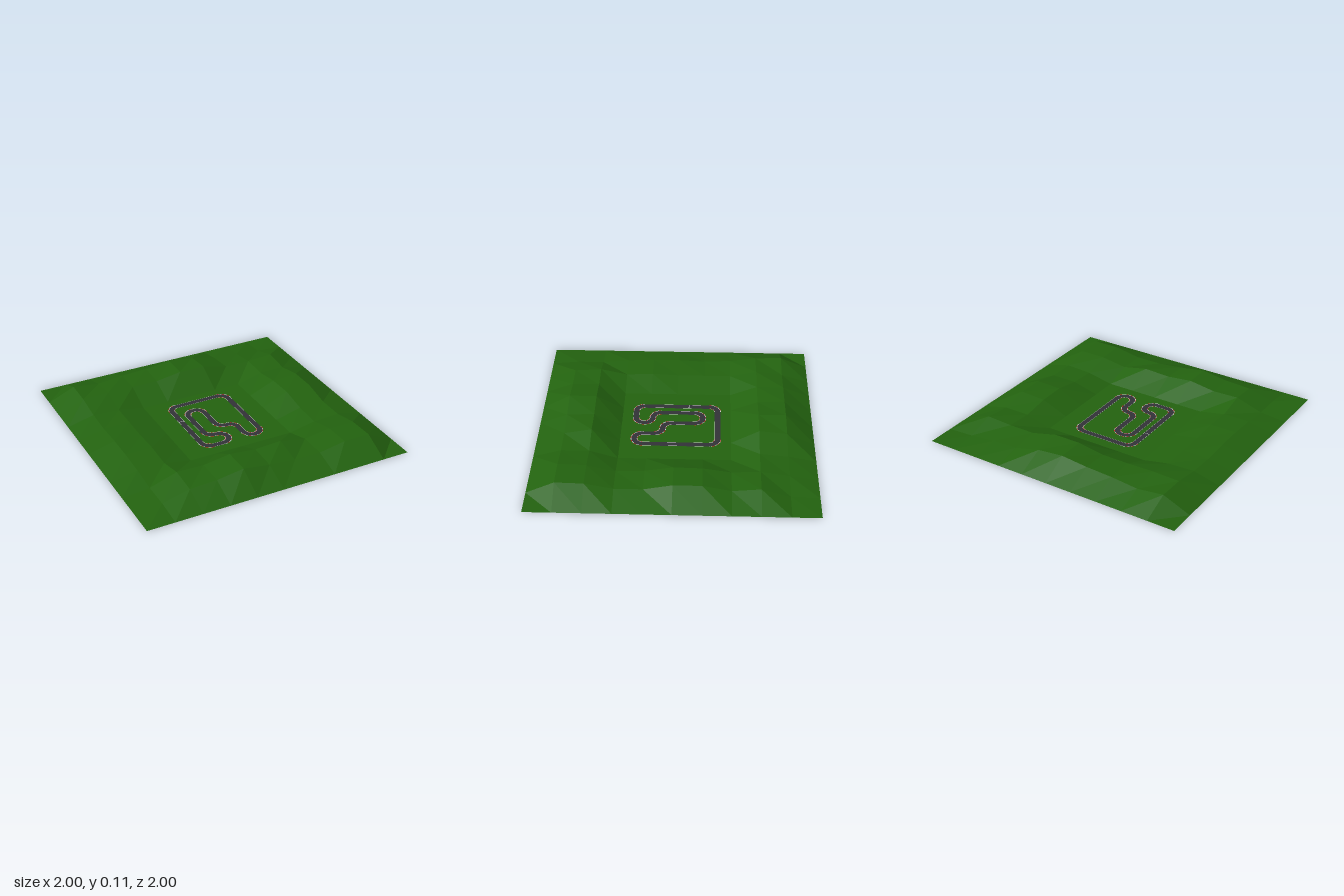
import * as THREE from 'three';

// Terrain heights in hundredths at the inner grid points (rows back to front, columns left to right)
const HEIGHTS = [
  [8.5, 6, 8, 9, 11, 9, 4, 3, 1],
  [8, 8.5, 8, 8, 11, 11, 6, 6, 7],
  [5, 4, 0, 0, 0, 0, 0, 5, 5],
  [4, 4, 0, 0, 0, 0, 0, 8, 9],
  [5, 4, 0, 0, 0, 0, 0, 8.5, 9],
  [5, 5, 0, 0, 0, 0, 0, 5, 5],
  [4, 4, 0, 0, 0, 0, 0, 4, 5],
  [2, 8.5, 8, 11, 9, 10, 6, 9, 9],
  [2, 7, 8, 11, 8, 6, 6, 9.5, 9.5],
];

// Corners of the road centre line as [x, z]
const CORNERS = [
  [-0.235, -0.305], [0.23, -0.305], [0.23, 0.3], [0.105, 0.3], [0.105, 0.097], [-0.025, 0.097],
  [-0.025, -0.195], [-0.155, -0.195], [-0.155, 0.175], [-0.025, 0.175], [-0.025, 0.3], [-0.235, 0.3],
];
const RADIUS = 0.062;
const ARC_STEPS = 12;

const paint = (color) => new THREE.MeshStandardMaterial({ color, side: THREE.DoubleSide });
const MATS = {
  grass: new THREE.MeshStandardMaterial({ color: 0x23630f, flatShading: true, side: THREE.DoubleSide }),
  asphalt: paint(0x333338),
  white: paint(0xe8e8e8),
  red: paint(0xd02020),
};

// Rounded corners as lists of points, each with its sideways direction
function makeArcs() {
  const n = CORNERS.length;
  return CORNERS.map((c, i) => {
    const p = new THREE.Vector2(...c);
    const dirIn = p.clone().sub(new THREE.Vector2(...CORNERS[(i + n - 1) % n])).normalize();
    const dirOut = new THREE.Vector2(...CORNERS[(i + 1) % n]).sub(p).normalize();
    const centre = p.clone().addScaledVector(dirIn, -RADIUS).addScaledVector(dirOut, RADIUS);
    const points = [];
    for (let k = 0; k <= ARC_STEPS; k++) {
      const a = (k / ARC_STEPS) * Math.PI / 2;
      const pos = centre.clone()
        .addScaledVector(dirOut, -RADIUS * Math.cos(a))
        .addScaledVector(dirIn, RADIUS * Math.sin(a));
      const t = dirIn.clone().multiplyScalar(Math.cos(a)).addScaledVector(dirOut, Math.sin(a));
      points.push({ pos, side: new THREE.Vector2(-t.y, t.x) });
    }
    return points;
  });
}

// Flat strip between two sideways offsets from a line of points
function ribbon(name, points, from, to, y, material) {
  const verts = [], index = [];
  points.forEach(({ pos, side }, i) => {
    for (const d of [from, to]) verts.push(pos.x + side.x * d, y, pos.y + side.y * d);
    if (i > 0) {
      const a = 2 * (i - 1);
      index.push(a, a + 2, a + 1, a + 1, a + 2, a + 3);
    }
  });
  // Turn every strip so that it faces up
  if (from < to) index.reverse();
  const g = new THREE.BufferGeometry();
  g.setAttribute('position', new THREE.Float32BufferAttribute(verts, 3));
  g.setIndex(index);
  g.computeVertexNormals();
  const mesh = new THREE.Mesh(g, material);
  mesh.name = name;
  return mesh;
}

function makeTerrain() {
  const g = new THREE.PlaneGeometry(2, 2, 10, 10).rotateX(-Math.PI / 2);
  const pos = g.attributes.position;
  HEIGHTS.forEach((row, r) => row.forEach((h, c) => pos.setY((r + 1) * 11 + c + 1, h / 100)));
  g.computeVertexNormals();
  const mesh = new THREE.Mesh(g, MATS.grass);
  mesh.name = 'terrain';
  return mesh;
}

function makeTrack() {
  const track = new THREE.Group();
  track.name = 'raceTrack';
  const arcs = makeArcs();
  const loop = [...arcs.flat(), arcs[0][0]];

  track.add(ribbon('road', loop, 0.022, -0.022, 0.002, MATS.asphalt));
  for (const s of [-1, 1]) {
    track.add(ribbon('edgeLine', loop, s * 0.0195, s * 0.0215, 0.003, MATS.white));
    // Striped kerbs on both sides of every bend
    for (const arc of arcs) {
      for (let k = 0; k < ARC_STEPS; k += 2) {
        const mat = (k / 2) % 2 ? MATS.white : MATS.red;
        track.add(ribbon('kerb', arc.slice(k, k + 3), s * 0.021, s * 0.025, 0.0035, mat));
      }
    }
  }

  // Start line across the left straight
  const line = new THREE.Mesh(new THREE.PlaneGeometry(0.042, 0.005).rotateX(-Math.PI / 2), MATS.white);
  line.name = 'startLine';
  line.position.set(-0.235, 0.0032, -0.09);
  track.add(line);
  return track;
}

export function createModel() {
  const model = new THREE.Group();
  model.name = 'trackLandscape';
  model.add(makeTerrain(), makeTrack());
  return model;
}
